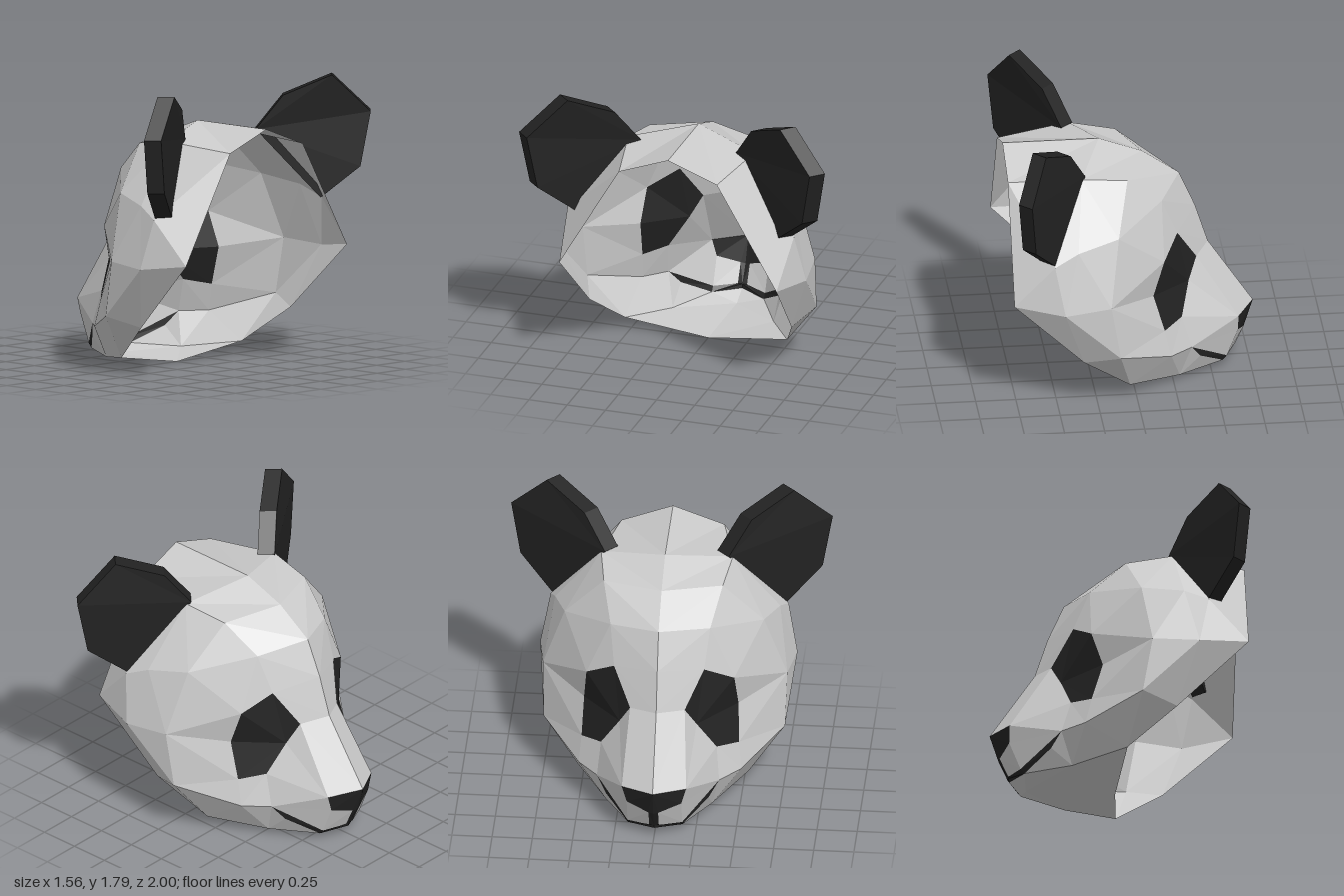
import * as THREE from 'three';

const grey = new THREE.MeshStandardMaterial({ color: 0xcccccc, flatShading: true, side: THREE.DoubleSide });
const dark = new THREE.MeshStandardMaterial({ color: 0x222222, flatShading: true, side: THREE.DoubleSide });

// Landmarks of one half of the head
const P = {
  // ridge from nose tip to the open back
  tip: [-.78, .37, 0], bridge: [-.5, .79, 0], brow: [-.42, 1.04, 0], forehead: [-.32, 1.27, 0],
  crownF: [-.09, 1.43, 0], crown: [.18, 1.53, 0], rimTop: [.78, 1.53, 0],
  // second line, beside the ridge
  nose1: [-.67, .355, .2], browSide: [-.18, 1.23, .31], crownSide: [.04, 1.41, .37],
  earRoot: [.33, 1.45, .41], rimUp: [.78, 1.41, .32],
  // eye patch outline
  e1: [-.28, .99, .28], e2: [-.18, .88, .46], e3: [-.11, .66, .48], e4: [-.18, .42, .49],
  e5: [-.3, .45, .36], e6: [-.355, .64, .24], e7: [-.41, .77, .17],
  // cheek and temple
  temple: [.12, 1.13, .62], earLow: [.38, 1.08, .7], earBack: [.53, 1.01, .74], cheek: [.18, .72, .76],
  jawTop: [.47, .7, .8], jaw: [.12, .37, .75], cheekLow: [-.22, .25, .505],
  rimSide: [.78, .74, .71], rimLow: [.34, .31, .66], rimJaw: [.04, .08, .53], rimChin: [0, 0, 0],
  // muzzle, mouth and chin
  nose2: [-.67, .25, .17], nose3: [-.72, .205, .03], nose4: [-.725, .2, 0],
  smile: [-.36, .245, .38], lipUp: [-.6, .075, .17], lipUpMid: [-.665, .085, .03], lipUpC: [-.665, .085, 0],
  lipBend: [-.42, .155, .32], lipLow: [-.575, .045, .17], lipLowC: [-.66, .06, 0],
  chin: [-.555, 0, 0], chinSide: [-.29, .035, .33],
};

function addMesh(group, name, material, positions) {
  const g = new THREE.BufferGeometry();
  g.setAttribute('position', new THREE.Float32BufferAttribute(positions, 3));
  g.computeVertexNormals();
  const m = new THREE.Mesh(g, material);
  m.name = name;
  group.add(m);
}

// Each text is one fan of triangles: first the hub, then the points around it
function addPart(group, name, material, fans, sides = [1, -1]) {
  const pos = [], a = new THREE.Vector3(), b = new THREE.Vector3(), c = new THREE.Vector3();
  const normal = new THREE.Vector3(), out = new THREE.Vector3(), middle = new THREE.Vector3(0, .7, 0);
  for (const side of sides) for (const fan of fans) {
    const [hub, ...around] = fan.split(' ');
    for (let i = 0; i + 1 < around.length; i++) {
      [[a, hub], [b, around[i]], [c, around[i + 1]]].forEach(([v, k]) => {
        v.fromArray(P[k]);
        v.z *= side;
      });
      // turn every triangle outwards
      normal.subVectors(b, a).cross(out.subVectors(c, a));
      out.copy(a).add(b).add(c).divideScalar(3).sub(middle);
      const tri = normal.dot(out) < 0 ? [a, c, b] : [a, b, c];
      tri.forEach(v => pos.push(v.x, v.y, v.z));
    }
  }
  addMesh(group, name, material, pos);
}

// Thin six-sided ear plate, leaning outwards; its lower inner edge sinks into the head
function addEar(group, name, side) {
  const front = [[.305, 1.46, .385], [.53, 1.02, .73], [.67, 1.21, .94], [.7, 1.55, 1], [.59, 1.79, .77], [.41, 1.67, .52]];
  const back = front.map(([x, y, z]) => [x + .075, y, z - .075]);
  const pos = [], n = front.length;
  const tri = (a, b, c) => (side > 0 ? [a, b, c] : [a, c, b]).forEach(([x, y, z]) => pos.push(x, y, z * side));
  for (let i = 0; i < n; i++) {
    const j = (i + 1) % n;
    tri(front[i], back[i], back[j]);
    tri(front[i], back[j], front[j]);
    if (i > 0 && j > 0) {
      tri(front[0], front[i], front[j]);
      tri(back[0], back[j], back[i]);
    }
  }
  addMesh(group, name, dark, pos);
}

export function createModel() {
  const head = new THREE.Group();
  head.name = 'bearHead';

  // Top of the head: quads between the ridge and the line beside it
  const ridge = ['tip', 'bridge', 'brow', 'forehead', 'crownF', 'crown', 'rimTop'];
  const beside = ['nose1', 'e7', 'e1', 'browSide', 'crownSide', 'earRoot', 'rimUp'];
  const top = [];
  for (let i = 0; i < 6; i++) top.push([ridge[i], beside[i], beside[i + 1], ridge[i + 1]].join(' '));
  addPart(head, 'skullTop', grey, top);

  // Cheeks, temples and jaw, ending at the open rim
  addPart(head, 'headSides', grey, [
    'e1 browSide e2',
    'temple e2 browSide crownSide earRoot earLow cheek e2',
    'earBack earLow earRoot rimUp rimSide jawTop earLow',
    'cheek e2 e3 e4 jaw jawTop earLow',
    'jaw e4 cheekLow rimJaw rimLow jawTop',
    'jawTop rimLow rimSide',
  ]);

  // Muzzle and chin
  addPart(head, 'muzzle', grey, [
    'nose1 e7 e6 e5 smile nose2',
    'cheekLow e4 e5 smile chinSide rimJaw',
    'lipUp smile nose2 nose3 lipUpMid',
    'chinSide smile lipBend lipLow chin rimChin rimJaw',
    'chin lipLow lipLowC',
  ]);

  addPart(head, 'nose', dark, ['tip nose1 nose2 nose3 nose4', 'nose3 nose4 lipUpC lipUpMid']);
  addPart(head, 'mouth', dark, ['lipUp smile lipBend lipLow', 'lipLow lipUp lipUpMid lipUpC lipLowC']);
  const eye = ['e6 e7 e1 e2 e3 e4 e5'];
  addPart(head, 'leftFacingEyePatch', dark, eye, [1]);
  addPart(head, 'rightFacingEyePatch', dark, eye, [-1]);
  addEar(head, 'frontEar', 1);
  addEar(head, 'backEar', -1);
  return head;
}
